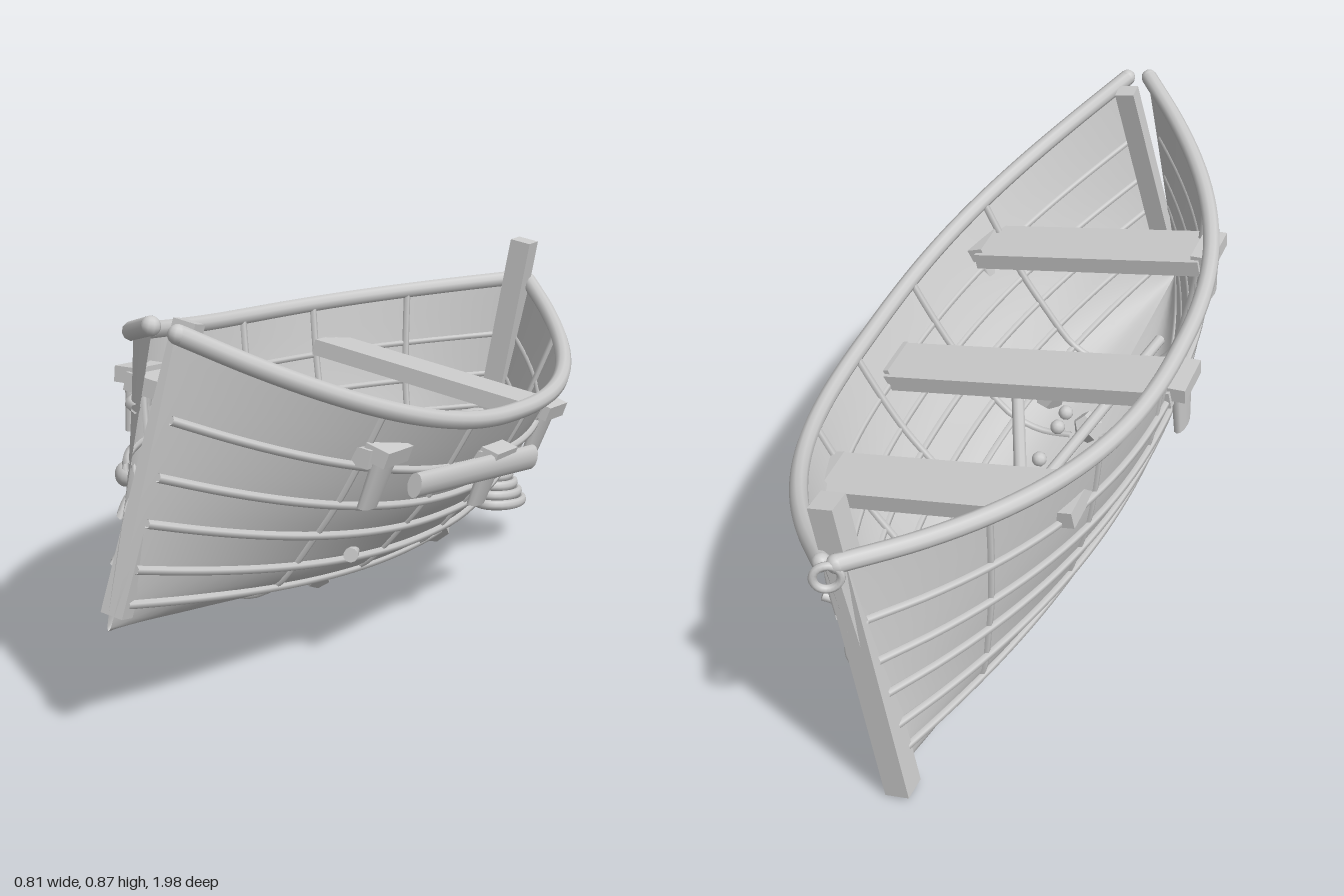
import * as THREE from 'three';

const V = (x, y, z) => new THREE.Vector3(x, y, z);
const UP = V(0, 1, 0);

// Midship half section: x is half breadth, y is fraction of the side height
const section = new THREE.CatmullRomCurve3([
  V(0, 0, 0), V(0.12, 0.02, 0), V(0.2, 0.12, 0), V(0.26, 0.32, 0),
  V(0.31, 0.52, 0), V(0.35, 0.75, 0), V(0.385, 1, 0),
]);

// Point on the hull: side s (+1/-1), u from stern -1 to bow 1, t from keel 0 to rail 1
function hullPoint(s, u, t, out = 0) {
  const p = section.getPoint(t);
  const a = Math.abs(u);
  const taper = 1 - Math.pow(a, 1.9 + 0.6 * t);
  const gap = (u > 0 ? 0.026 : 0.012) * Math.pow(a, 6) * t;
  const height = 0.44 + (u > 0 ? 0.17 : 0.14) * Math.pow(a, 2.2);
  return V(s * (p.x * taper + gap + out), p.y * height, 0.02 + 0.945 * u);
}

const uAt = (z) => (z - 0.02) / 0.945;

export function createModel() {
  const model = new THREE.Group();
  const boat = new THREE.Group();
  boat.name = 'boat';
  model.add(boat);

  const solid = new THREE.MeshStandardMaterial({ color: 0xcccccc });
  const thin = new THREE.MeshStandardMaterial({ color: 0xcccccc, side: THREE.DoubleSide });

  function add(name, geometry, pos = V(0, 0, 0), parent = boat, material = solid) {
    const mesh = new THREE.Mesh(geometry, material);
    mesh.name = name;
    mesh.position.copy(pos);
    parent.add(mesh);
    return mesh;
  }

  function tube(name, points, radius, sides = 8, steps = 40) {
    const g = new THREE.TubeGeometry(new THREE.CatmullRomCurve3(points), steps, radius, sides);
    return add(name, g, V(0, 0, 0), boat, thin);
  }

  // Straight round bar between two points
  function bar(name, a, b, r0, r1 = r0, sides = 10) {
    const d = b.clone().sub(a);
    const m = add(name, new THREE.CylinderGeometry(r1, r0, d.length(), sides), a.clone().add(b).multiplyScalar(0.5));
    m.quaternion.setFromUnitVectors(UP, d.normalize());
    return m;
  }

  // Rectangular post in the centre plane
  function post(name, a, b, w, depth) {
    const d = b.clone().sub(a);
    const m = add(name, new THREE.BoxGeometry(w, d.length(), depth), a.clone().add(b).multiplyScalar(0.5));
    m.quaternion.setFromUnitVectors(UP, d.normalize());
    return m;
  }

  function along(fn, n) {
    return Array.from({ length: n + 1 }, (_, i) => fn(i / n));
  }

  // Hull shell, one skin per side
  function skin(s) {
    const nu = 40, nt = 20, pos = [], idx = [];
    for (let i = 0; i <= nu; i++) {
      for (let j = 0; j <= nt; j++) {
        pos.push(...hullPoint(s, -1 + (2 * i) / nu, j / nt).toArray());
        if (i === nu || j === nt) continue;
        const a = i * (nt + 1) + j, b = a + nt + 1;
        if (s > 0) idx.push(a, a + 1, b, b, a + 1, b + 1);
        else idx.push(a, b, a + 1, b, b + 1, a + 1);
      }
    }
    const g = new THREE.BufferGeometry();
    g.setAttribute('position', new THREE.Float32BufferAttribute(pos, 3));
    g.setIndex(idx);
    g.computeVertexNormals();
    return g;
  }

  for (const s of [1, -1]) {
    add('hullSide', skin(s), V(0, 0, 0), boat, thin);

    // Top rail
    const rail = along((k) => hullPoint(s, -1 + 2 * k, 1, 0.004), 14);
    tube('gunwale', rail, 0.02, 10, 56);
    for (const end of [rail[0], rail[14]]) add('gunwaleEnd', new THREE.SphereGeometry(0.02, 10, 8), end);

    // Raised plank edges
    for (const t of [0.3, 0.42, 0.55, 0.68, 0.82]) {
      tube('plankEdge', along((k) => hullPoint(s, -0.98 + 1.96 * k, t, 0.005), 16), 0.0095, 6, 48);
    }

    // Ribs
    for (const z of [0.54, 0.23, -0.08, -0.37, -0.66]) {
      tube('rib', along((k) => hullPoint(s, uAt(z), 0.06 + 0.94 * k, -0.003), 10), 0.0095, 6, 24);
    }
  }

  // Bow and stern posts
  post('bowPost', V(0, 0.03, 0.945), V(0, 0.62, 0.875), 0.05, 0.04);
  post('sternPost', V(0, -0.04, -0.925), V(0, 0.69, -0.87), 0.055, 0.06);
  const ring = add('sternRing', new THREE.TorusGeometry(0.028, 0.009, 8, 20), V(0, 0.56, -0.945));
  ring.rotation.y = 0.5;

  // Thwarts with hanging blocks at their ends
  for (const [z, y] of [[0.497, 0.38], [0.04, 0.33], [-0.425, 0.36]]) {
    const half = hullPoint(1, uAt(z), 0.85).x;
    add('thwart', new THREE.BoxGeometry(2 * half + 0.02, 0.04, 0.14), V(0, y, z));
    for (const s of [1, -1]) {
      if (s < 0 && z < -0.4) continue;
      const block = new THREE.Group();
      block.name = 'sideBlock';
      block.position.set(s * (half + 0.015), y, z);
      block.rotation.z = -s * 0.15;
      boat.add(block);
      add('blockCap', new THREE.BoxGeometry(0.055, 0.035, 0.12), V(0, 0.01, 0), block);
      const body = add('blockBody', new THREE.CylinderGeometry(0.052, 0.042, 0.11, 12), V(0, -0.06, 0), block);
      body.scale.x = 0.35;
    }
  }

  // Spar lashed outside the hull
  const spar = bar('outerSpar', V(0.395, 0.31, -0.14), V(0.37, 0.335, 0.48), 0.03, 0.027, 12);
  spar.scale.x = 0.6;

  // Small float near the bow
  const float = add('float', new THREE.SphereGeometry(0.024, 14, 10), hullPoint(-1, uAt(0.7), 0.6, 0.02));
  float.scale.y = 1.15;

  // Rope coil on the quarter, stacked rings
  const coil = new THREE.Group();
  coil.name = 'outerRopeCoil';
  coil.position.set(0.185, 0.06, -0.6);
  coil.rotation.z = 0.17;
  boat.add(coil);
  for (let i = 0; i < 5; i++) {
    const r = add('coilTurn', new THREE.TorusGeometry(0.088 - i * 0.012, 0.013, 8, 28), V(-0.004 * i, i * 0.022, 0), coil);
    r.rotation.x = Math.PI / 2;
    r.scale.x = 0.65;
  }

  // Oar lying inside, blade towards the stern
  bar('oarShaft', V(-0.1, 0.07, 0.56), V(-0.01, 0.17, -0.5), 0.014);
  const blade = add('oarBlade', new THREE.SphereGeometry(1, 16, 10), V(0.0, 0.2, -0.65));
  blade.scale.set(0.045, 0.014, 0.2);
  blade.rotation.x = 0.1;

  // Loose pole
  bar('loosePole', V(-0.01, 0.06, -0.2), V(0.23, 0.12, 0.4), 0.016);

  // Rope coil and stick on the floor aft
  for (let i = 0; i < 4; i++) {
    const r = add('floorRope', new THREE.TorusGeometry(0.07 - i * 0.006, 0.011, 8, 26, 5), V(0.1, 0.06 + i * 0.018, -0.62));
    r.rotation.set(Math.PI / 2, 0, 0.8 * i);
  }
  bar('floorStick', V(0.08, 0.15, -0.63), V(0.23, 0.25, -0.68), 0.012);

  // Stones and a small crate in the bilge
  const stones = [[0.15, 0.05, -0.25, 0.05], [-0.02, 0.04, 0.22, 0.04], [0.13, 0.04, 0.34, 0.04], [-0.15, 0.08, 0.16, 0.033]];
  for (const [x, y, z, r] of stones) {
    const m = add('stone', new THREE.DodecahedronGeometry(r), V(x, y, z));
    m.rotation.set(x * 9, z * 7, 0.4);
  }
  add('crate', new THREE.BoxGeometry(0.08, 0.07, 0.1), V(-0.1, 0.06, -0.17)).rotation.y = 0.3;
  for (const z of [-0.18, 0.1, 0.23, 0.29]) {
    add('pebble', new THREE.IcosahedronGeometry(0.019, 1), V(0.07, 0.025, z));
  }

  // The boat rests heeled over with the bow raised
  boat.rotation.set(-0.105, 0, -0.174);
  boat.position.set(-0.077, 0.14, 0.035);
  return model;
}
